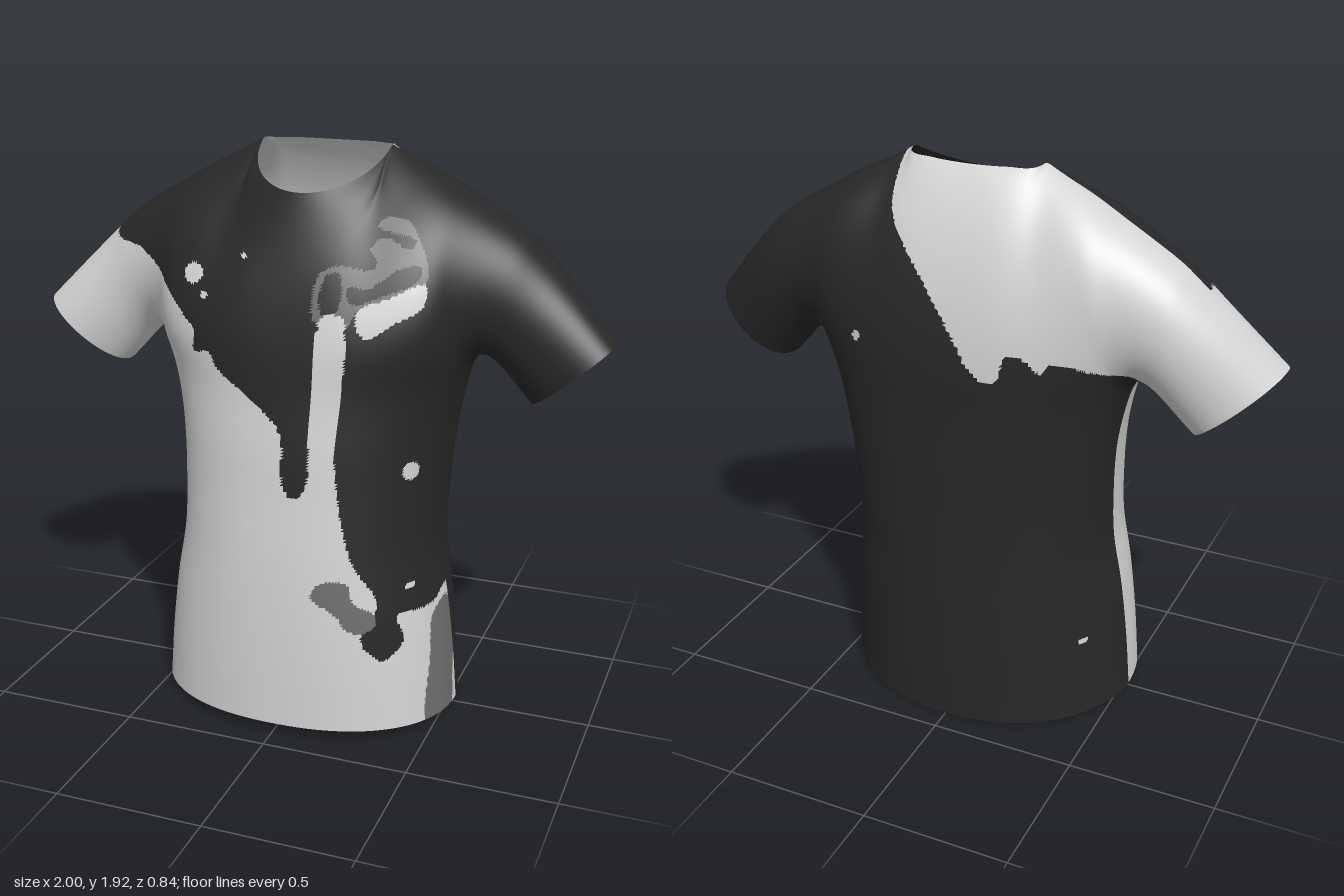
import * as THREE from 'three';
import { mergeVertices } from 'three/addons/utils/BufferGeometryUtils.js';

const V = (x, y, z) => new THREE.Vector3(x, y, z);
const { lerp, smoothstep } = THREE.MathUtils;
const spline = (...p) => new THREE.CatmullRomCurve3(p, false, 'catmullrom');

const RING = 1.22; // height of the armpits
const NECK = 0.34; // share of the columns that end on the neckline

// Torso from hem to armpit: half width, front depth, back depth
const torso = spline(V(0.527, 0.42, 0.42), V(0.51, 0.418, 0.42), V(0.485, 0.412, 0.418), V(0.452, 0.4, 0.415),
  V(0.455, 0.38, 0.412), V(0.475, 0.36, 0.41), V(0.52, 0.333, 0.41));
// Seams of the sleeve, from body to cuff
const underarm = spline(V(0.52, RING, -0.09), V(0.565, 1.27, -0.09), V(0.63, 1.23, -0.09), V(0.735, 1.12, -0.08));
const overarm = spline(V(0.48, 1.8, -0.13), V(0.64, 1.705, -0.13), V(0.8, 1.56, -0.11), V(1, 1.35, -0.04));

// Point of the torso; k runs from centre to side, t from hem to armpit, s is +1 front, -1 back
function torsoPoint(k, t, s) {
  const p = torso.getPoint(t), a = k * Math.PI / 2, seam = lerp(-0.01, -0.09, smoothstep(t, 0.4, 0.95));
  const c = Math.max(0, Math.cos(a));
  const z = s > 0 ? seam + (p.y - seam) * c ** 0.87
    : seam - (p.z + seam) * c ** lerp(1.15, 0.75, smoothstep(t, 0, 0.6));
  return V(p.x * Math.sin(a) ** 0.9, lerp(0.0225 + 0.0417 * z, RING, t), z);
}

// Upper end of a column: neckline first, then shoulder seam
function topPoint(k, s) {
  if (k > NECK) {
    const t = (k - NECK) / (1 - NECK);
    return V(lerp(0.225, 0.48, t), lerp(1.93, 1.8, t) + 0.01 * Math.sin(t * Math.PI), lerp(-0.12, -0.13, t));
  }
  const a = k / NECK * Math.PI / 2, c = Math.max(0, Math.cos(a)), x = 0.225 * Math.sin(a);
  return s > 0 ? V(x, 1.93 - 0.13 * c, -0.12 + 0.265 * c) : V(x, 1.93 - 0.01 * c, -0.12 - 0.09 * c ** 0.7);
}

// Column of the body from hem over chest or back to its upper end
function bodyColumn(k, s) {
  const p = torsoPoint(k, 1, s), q = topPoint(k, s), c1 = p.clone(), c2 = q.clone();
  if (s > 0) {
    c1.add(V(0, 0.2 * (1 - k ** 6), lerp(-0.03, 0.33, k ** 1.3)));
    c2.add(V(0, -0.18 * (1 - k), lerp(0.09, 0.25, smoothstep(k, 0, 0.4)) + 0.08 * k ** 4));
  } else {
    c1.add(V(0, 0.3 * (1 - k ** 6), lerp(-0.02, -0.29, k * k)));
    c2.add(V(0, -0.1 * (1 - k), lerp(-0.1, -0.29, k)));
  }
  const upper = new THREE.CubicBezierCurve3(p, c1, c2, q), split = 0.63;
  return (v) => v <= split ? torsoPoint(k, v / split, s) : upper.getPoint((v - split) / (1 - split));
}

// Half section of the sleeve
function sleeveColumn(j, s) {
  const b = underarm.getPoint(j), t = overarm.getPoint(j);
  const d = V(0, 0, s > 0 ? lerp(0.33, 0.17, j ** 0.8) : -lerp(0.29, 0.22, j));
  const curve = new THREE.CubicBezierCurve3(b, b.clone().add(d), t.clone().add(d), t);
  return (v) => curve.getPoint(v);
}

// Relaxes the cloth around armholes, chest and shoulders; neckline and cuffs stay put
function relax(geometry, rounds) {
  const a = geometry.attributes.position.array, ids = geometry.index.array, n = a.length / 3;
  const weight = new Float32Array(n);
  for (let v = 0; v < n; v++) {
    const x = Math.abs(a[v * 3]), y = a[v * 3 + 1], z = a[v * 3 + 2];
    weight[v] = 0.8 * smoothstep(y, 0.95, 1.15) * (1 - smoothstep(x, 0.6, 0.7))
      * smoothstep(Math.hypot(x / 0.225, (z + 0.04) / 0.18), 1.05, 1.6);
  }
  for (let r = 0; r < rounds; r++) {
    const sum = new Float32Array(n * 3), count = new Float32Array(n);
    for (let f = 0; f < ids.length; f += 3) for (let e = 0; e < 3; e++) {
      const from = ids[f + e], to = ids[f + (e + 1) % 3];
      for (let c = 0; c < 3; c++) sum[from * 3 + c] += a[to * 3 + c];
      count[from]++;
    }
    for (let v = 0; v < n; v++) if (weight[v] > 0) for (let c = 0; c < 3; c++) {
      a[v * 3 + c] = lerp(a[v * 3 + c], sum[v * 3 + c] / count[v], weight[v]);
    }
  }
}

// Painted areas as tests on a point; later ones lie on top
const LIGHT = 0, DARK = 1, GREY = 2;
const oval = (x, y, rx, ry = rx) => (px, py) => ((px - x) / rx) ** 2 + ((py - y) / ry) ** 2 < 1;

// Area within a smooth closed outline through a few points
function blob(...xy) {
  const knots = [];
  for (let i = 0; i < xy.length; i += 2) knots.push(V(xy[i], xy[i + 1], 0));
  const o = new THREE.CatmullRomCurve3(knots, true).getPoints(knots.length * 4);
  return (x, y) => {
    let hit = false;
    o.forEach((a, i) => {
      const b = o[(i + 1) % o.length];
      if ((a.y > y) !== (b.y > y) && x < (b.x - a.x) * (y - a.y) / (b.y - a.y) + a.x) hit = !hit;
    });
    return hit;
  };
}

// Front spill with its two drips, and the light run between them
const spill = blob(-0.757, 2.1, -0.757, 1.6, -0.61, 1.567, -0.527, 1.525, -0.484, 1.497, -0.356, 1.385, -0.318, 1.35,
  -0.325, 1.285, -0.26, 1.289, -0.227, 1.24, -0.099, 1.16, 0.01, 1.06, 0.024, 0.893, 0.061, 0.85, 0.1, 0.885, 0.104, 1.15,
  0.13, 1.43, 0.2, 1.42, 0.19, 0.99, 0.249, 0.652, 0.329, 0.508, 0.325, 0.44, 0.29, 0.37, 0.356, 0.289,
  0.411, 0.35, 0.39, 0.444, 0.47, 0.44, 0.485, 0.477, 1.2, 0.477, 1.2, 2.1);
const chestSplash = blob(0.1, 1.43, 0.104, 1.567, 0.163, 1.594, 0.265, 1.583, 0.28, 1.61, 0.25, 1.642, 0.286, 1.68,
  0.372, 1.647, 0.388, 1.674, 0.26, 1.706, 0.275, 1.732, 0.35, 1.727, 0.43, 1.61, 0.43, 1.54, 0.243, 1.47, 0.2, 1.406);
const splashHole = blob(0.122, 1.45, 0.124, 1.561, 0.163, 1.575, 0.183, 1.53, 0.172, 1.46);
const splashSlot = blob(0.215, 1.485, 0.197, 1.535, 0.26, 1.53, 0.35, 1.59, 0.412, 1.6, 0.412, 1.558, 0.329, 1.518);
const splashGlint = blob(0.238, 1.42, 0.24, 1.465, 0.33, 1.505, 0.432, 1.548, 0.434, 1.48, 0.345, 1.425, 0.268, 1.38);
const lowerSplash = blob(0.131, 0.519, 0.152, 0.567, 0.238, 0.572, 0.265, 0.5, 0.324, 0.46, 0.332, 0.42,
  0.291, 0.392, 0.243, 0.412, 0.206, 0.465);
const frontPaint = [
  [DARK, spill], [GREY, chestSplash], [DARK, splashHole], [DARK, splashSlot],
  [LIGHT, oval(0.162, 1.415, 0.045, 0.037)], [LIGHT, splashGlint], [GREY, lowerSplash],
  [LIGHT, oval(-0.34, 1.53, 0.036, 0.032)], [LIGHT, oval(-0.29, 1.47, 0.013)], [LIGHT, oval(-0.16, 1.6, 0.01)],
  [LIGHT, oval(0.4, 0.925, 0.02, 0.03)], [LIGHT, oval(0.415, 0.53, 0.011)],
];

// Patch beside the hem, outlined in z and y
const sidePatch = blob(0.195, 0, 0.16, 0.27, 0.125, 0.4, 0, 0.42, -0.03, 0.3, 0.01, 0.15, 0.05, 0);

// Bare area over the shoulder on the dark back
const bareShoulder = blob(0.225, 2, 0.235, 1.85, 0.215, 1.76, 0.14, 1.66, 0.06, 1.56, -0.01, 1.46, -0.12, 1.3, -0.18, 1.3,
  -0.21, 1.385, -0.26, 1.39, -0.32, 1.345, -0.35, 1.38, -0.5, 1.34, -0.57, 1.32, -0.6, 1.2, -0.6, 1, -1.1, 1, -1.1, 2);
const backPaint = [
  [DARK, () => true], [LIGHT, bareShoulder],
  [LIGHT, oval(0.32, 1.36, 0.016)], [LIGHT, oval(-0.43, 0.31, 0.012)],
];

function colourAt(x, y, z, s) {
  if (s > 0 && x > 0.35 && sidePatch(z, y)) return GREY;
  let colour = LIGHT;
  for (const [c, covers] of s > 0 ? frontPaint : backPaint) if (covers(x, y)) colour = c;
  return colour;
}

function makeMaterial(name, color) {
  const m = new THREE.MeshStandardMaterial({ color, side: THREE.DoubleSide });
  m.name = name;
  return m;
}

export function createModel() {
  const positions = [], index = [], tags = [];

  // Grid of columns, mirrored by side and tagged with part and sheet
  function addPatch(column, side, s, nu, nv, part) {
    const start = positions.length / 3;
    for (let i = 0; i <= nu; i++) {
      const at = column(i / nu, s);
      for (let j = 0; j <= nv; j++) {
        const p = at(j / nv);
        positions.push(p.x * side, p.y, p.z);
      }
    }
    for (let i = 0; i < nu; i++) for (let j = 0; j < nv; j++) {
      const a = start + i * (nv + 1) + j, b = a + nv + 1;
      if (side * s > 0) index.push(a, b, b + 1, a, b + 1, a + 1);
      else index.push(a, b + 1, b, a, a + 1, b + 1);
      tags.push([part, s], [part, s]);
    }
  }
  // 200 rows put 74 of them on the armhole, the same as on the sleeve
  for (const side of [1, -1]) for (const s of [1, -1]) {
    addPatch(bodyColumn, side, s, 68, 200, 'body');
    addPatch(sleeveColumn, side, s, 44, 74, side > 0 ? 'leftSleeve' : 'rightSleeve');
  }

  // One welded cloth, so that shading runs smoothly across the seams
  let cloth = new THREE.BufferGeometry();
  cloth.setAttribute('position', new THREE.Float32BufferAttribute(positions, 3));
  cloth.setIndex(index);
  cloth = mergeVertices(cloth, 1e-4);
  relax(cloth, 50);
  cloth.computeVertexNormals();

  // Sort the faces by part and colour
  const parts = { body: [[], [], []], leftSleeve: [[], [], []], rightSleeve: [[], [], []] };
  const { position, normal } = cloth.attributes, corners = cloth.index.array;
  tags.forEach(([part, s], f) => {
    const face = [corners[f * 3], corners[f * 3 + 1], corners[f * 3 + 2]];
    const mean = (get) => face.reduce((sum, v) => sum + position[get](v), 0) / 3;
    parts[part][colourAt(mean('getX'), mean('getY'), mean('getZ'), s)].push(...face);
  });

  const materials = [makeMaterial('lightCloth', 0xd4d4d4), makeMaterial('darkCloth', 0x282828),
    makeMaterial('greyCloth', 0x6e6e6e)];
  const shirt = new THREE.Group();
  shirt.name = 'shirt';
  for (const [name, lists] of Object.entries(parts)) {
    const g = new THREE.BufferGeometry();
    g.setAttribute('position', position);
    g.setAttribute('normal', normal);
    g.setIndex(lists.flat());
    let start = 0;
    lists.forEach((list, c) => {
      if (list.length) g.addGroup(start, list.length, c);
      start += list.length;
    });
    const mesh = new THREE.Mesh(g, materials);
    mesh.name = name;
    shirt.add(mesh);
  }
  return shirt;
}
